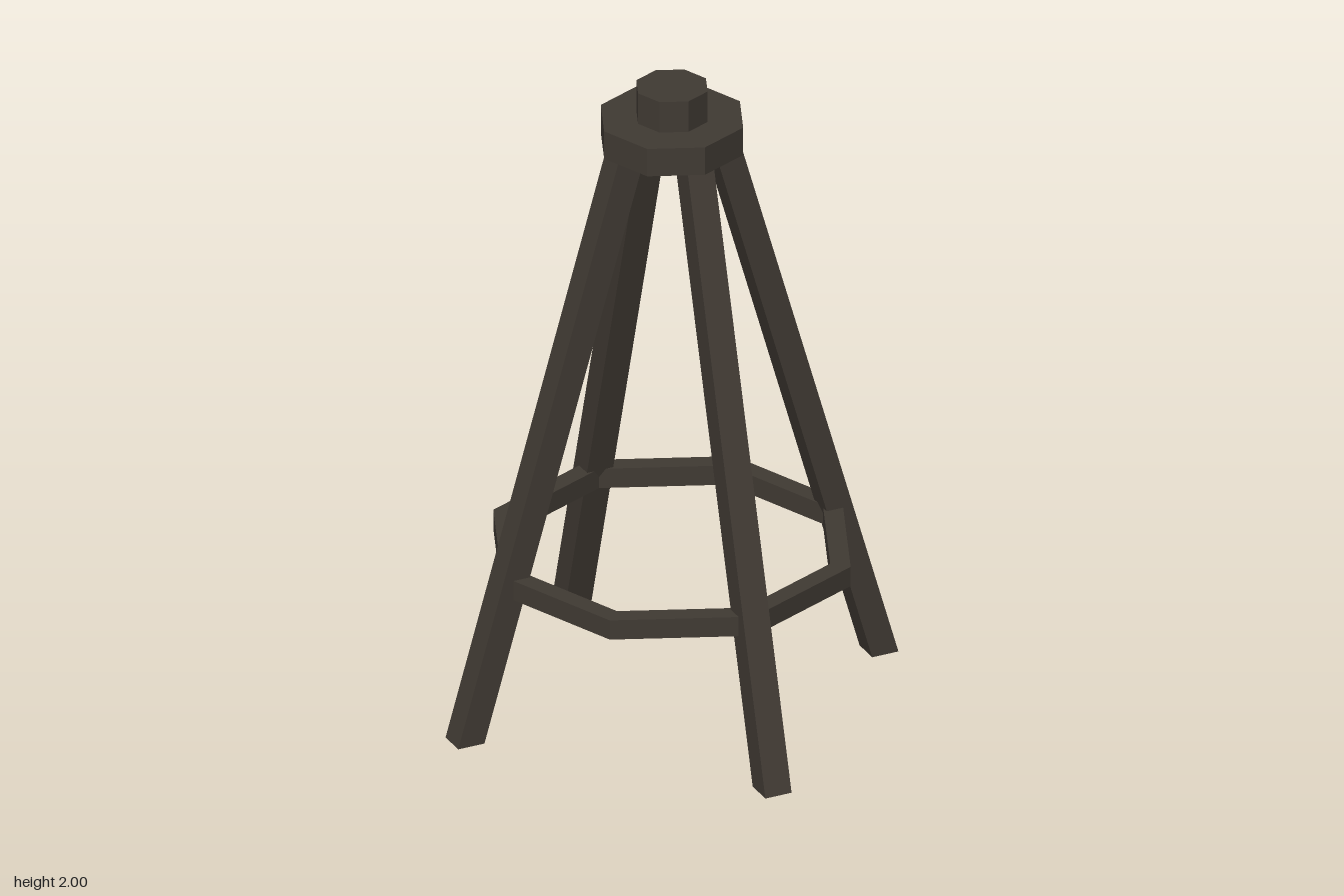
import * as THREE from 'three';

export function createModel() {
  const model = new THREE.Group();
  const darkWood = new THREE.MeshStandardMaterial({ color: 0x403a33, flatShading: true });
  darkWood.name = 'darkWood';

  const add = (name, geometry, y = 0) => {
    const mesh = new THREE.Mesh(geometry, darkWood);
    mesh.name = name;
    mesh.position.y = y;
    model.add(mesh);
    return mesh;
  };

  // Octagonal top plate, with a hub running through it
  add('topPlate', new THREE.CylinderGeometry(0.22, 0.22, 0.09, 8), 1.855);
  add('hub', new THREE.CylinderGeometry(0.11, 0.11, 0.215, 8), 1.8925);

  // Four splayed legs: boxes sheared outward, ends cut level
  const legHeight = 1.85, footRadius = 0.671, slope = 0.287;
  const legGeometry = new THREE.BoxGeometry(0.085, legHeight, 0.085);
  legGeometry.translate(0, legHeight / 2, 0);
  const p = legGeometry.attributes.position;
  for (let i = 0; i < p.count; i++) {
    p.setX(i, p.getX(i) + footRadius - slope * p.getY(i));
  }
  legGeometry.computeVertexNormals();
  ['leftLeg', 'backLeg', 'rightLeg', 'frontLeg'].forEach((name, i) => {
    add(name, legGeometry).rotation.y = i * Math.PI / 2;
  });

  // Octagonal brace ring joining the legs
  const octagon = (r) => Array.from({ length: 8 }, (_, i) =>
    new THREE.Vector2(r * Math.cos(i * Math.PI / 4), r * Math.sin(i * Math.PI / 4)));
  const ringShape = new THREE.Shape(octagon(0.552));
  ringShape.holes.push(new THREE.Path(octagon(0.489)));
  const ringGeometry = new THREE.ExtrudeGeometry(ringShape, { depth: 0.063, bevelEnabled: false });
  ringGeometry.rotateX(-Math.PI / 2);
  add('braceRing', ringGeometry, 0.45);

  return model;
}
